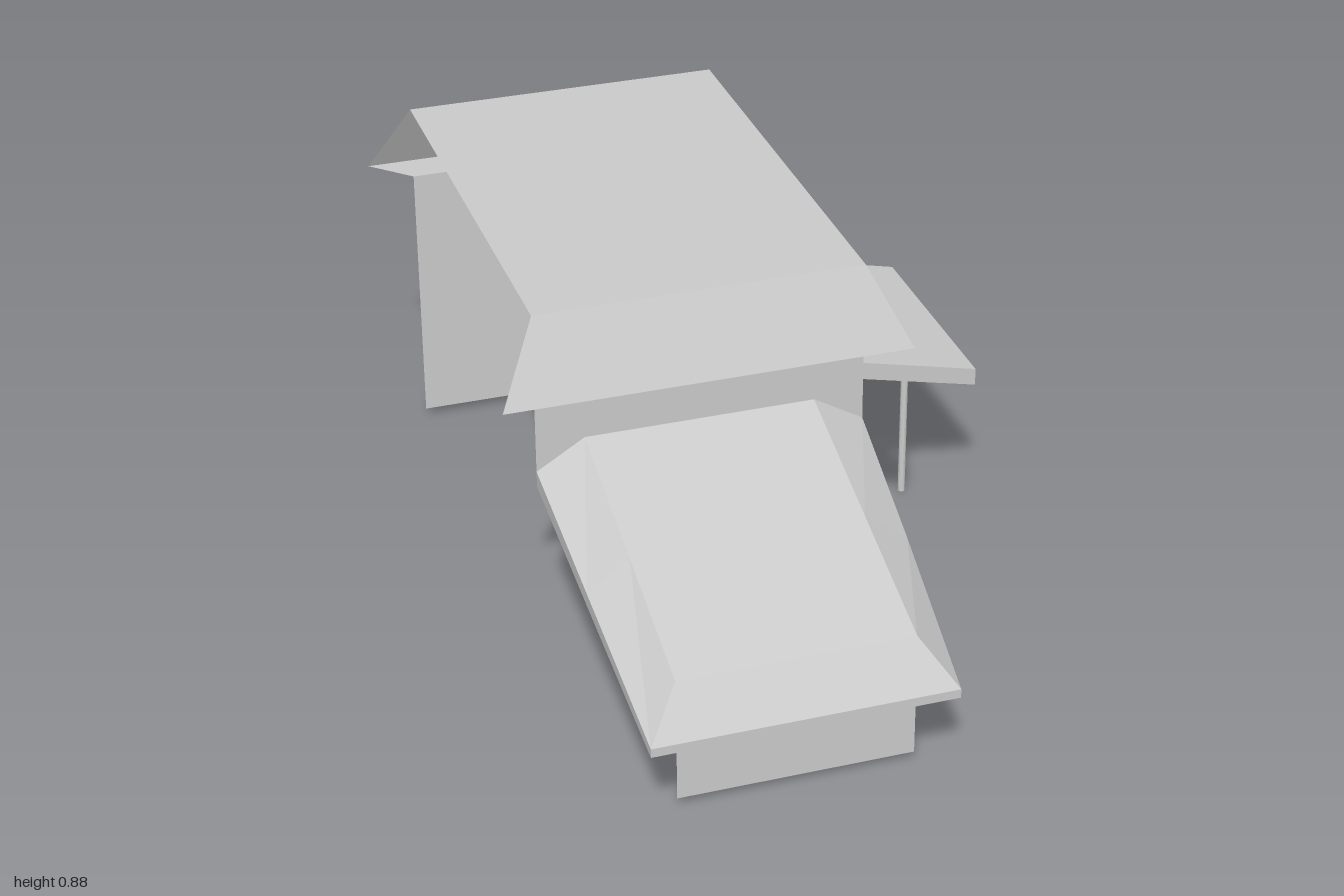
import * as THREE from 'three';

const mat = new THREE.MeshStandardMaterial({ color: 0xcccccc, flatShading: true, side: THREE.DoubleSide });

// Main block and annex limits
const L = -0.55, R = 0.235, B = -0.905, F = 0.245, BASE = 0.02, EAVE = 0.695;
const AL = -0.435, AR = 0.115, AF = 0.925;

function add(group, name, geometry) {
  const mesh = new THREE.Mesh(geometry, mat);
  mesh.name = name;
  group.add(mesh);
  return mesh;
}

// Sheet made of polygons, each a fan of corners
function sheet(group, name, polygons) {
  const pos = [];
  for (const p of polygons) {
    for (let i = 1; i < p.length - 1; i++) pos.push(...p[0], ...p[i], ...p[i + 1]);
  }
  const g = new THREE.BufferGeometry();
  g.setAttribute('position', new THREE.Float32BufferAttribute(pos, 3));
  g.computeVertexNormals();
  return add(group, name, g);
}

// Strips joining two rows of points
function strips(a, b) {
  const out = [];
  for (let i = 0; i < a.length - 1; i++) out.push([a[i], b[i], b[i + 1], a[i + 1]]);
  return out;
}

// Rectangle as a shape or hole; u runs along -z
function rect(T, { z0, z1, y0, y1 }, grow = 0) {
  return new T([
    [-z1 - grow, y0 - grow], [-z0 + grow, y0 - grow], [-z0 + grow, y1 + grow], [-z1 - grow, y1 + grow],
  ].map(([u, y]) => new THREE.Vector2(u, y)));
}

// Recessed opening in the side wall: four reveals and a back panel
function recess(group, name, { z0, z1, y0, y1 }, front, depth) {
  const ring = (x) => [[x, y0, z0], [x, y0, z1], [x, y1, z1], [x, y1, z0], [x, y0, z0]];
  sheet(group, name, [...strips(ring(front), ring(front - depth)), ring(front - depth).slice(0, 4)]);
}

function buildWalls(house) {
  const windows = [{ z0: -0.02, z1: 0.225, y0: 0.235, y1: 0.415 }, { z0: -0.88, z1: -0.637, y0: 0.235, y1: 0.415 }];
  const door = { z0: -0.435, z1: -0.225, y0: BASE, y1: 0.37 };

  // Side wall with door notch and window openings
  const s = new THREE.Shape([
    [-F, BASE], [-door.z1, BASE], [-door.z1, door.y1], [-door.z0, door.y1],
    [-door.z0, BASE], [-B, BASE], [-B, EAVE], [-F, EAVE],
  ].map(([u, y]) => new THREE.Vector2(u, y)));
  for (const w of windows) s.holes.push(rect(THREE.Path, w));
  const wall = add(house, 'sideWall', new THREE.ShapeGeometry(s));
  wall.rotation.y = Math.PI / 2;
  wall.position.x = R;

  recess(house, 'door', door, R, 0.025);

  for (const w of windows) {
    const frame = rect(THREE.Shape, w, 0.022);
    frame.holes.push(rect(THREE.Path, w));
    const m = add(house, 'windowFrame', new THREE.ExtrudeGeometry(frame, { depth: 0.015, bevelEnabled: false }));
    m.rotation.y = Math.PI / 2;
    m.position.x = R;
    recess(house, 'windowRecess', w, R, 0.055);
  }

  sheet(house, 'backWall', [[[L, BASE, B], [L, EAVE, B], [R, EAVE, B], [R, BASE, B]]]);

  // Front wall above the annex roof, and the strip beside the annex
  sheet(house, 'frontWall', [
    [[AL, 0.55, F], [AR, 0.55, F], [AR, EAVE, F], [AL, EAVE, F]],
    [[L, 0.48, F], [AL, 0.55, F], [AL, EAVE, F], [L, EAVE, F]],
    [[AR, BASE, F], [R, BASE, F], [R, EAVE, F], [AR, EAVE, F]],
  ]);
}

function buildMainRoof(house) {
  const top = 0.88, l = -0.645, r = 0.325, b = -1, f = 0.335;
  // Rows run round the roof from front left to back left; the left end is open
  const row = (y, x0, x1, z0, z1) => [[x0, y, z1], [x1, y, z1], [x1, y, z0], [x0, y, z0]];
  const ridge = row(top, L, R, B, F);
  const eave = row(EAVE, l, r, b, f);
  sheet(house, 'mainRoofTop', [ridge]);
  sheet(house, 'mainRoofSkirt', strips(ridge, eave));
  sheet(house, 'mainRoofSoffit', strips(eave, row(EAVE, L, R, B, F)));
}

function buildAnnex(house) {
  const mid = 0.59;
  // Roof rows from back left, round the front, to back right
  const inner = [
    [AL, 0.55, F], [AL, 0.435, mid], [AL, 0.325, 0.92],
    [AR, 0.325, 0.92], [AR, 0.435, mid], [AR, 0.55, F],
  ];
  const outer = [
    [L, 0.48, F], [-0.534, 0.361, mid], [-0.515, 0.22, 1],
    [0.19, 0.22, 1], [0.217, 0.361, mid], [R, 0.48, F],
  ];
  const drop = [0.04, 0.033, 0.022, 0.022, 0.033, 0.04];
  const lower = outer.map(([x, y, z], i) => [x, y - drop[i], z]);
  const wallTop = [
    [AL, 0.44, F], [AL, 0.328, mid], [AL, 0.22, AF],
    [AR, 0.22, AF], [AR, 0.328, mid], [AR, 0.44, F],
  ];
  sheet(house, 'annexRoofTop', [[inner[0], inner[2], inner[3], inner[5]]]);
  sheet(house, 'annexRoofSkirt', strips(inner, outer));
  sheet(house, 'annexFascia', strips(outer, lower));
  sheet(house, 'annexSoffit', strips(lower.slice(2), wallTop.slice(2)));
  // Front and right walls; the left side is open
  const walls = wallTop.slice(2);
  sheet(house, 'annexWalls', strips(walls, walls.map(([x, , z]) => [x, BASE, z])));
}

function buildPorch(house) {
  // Sloping canopy slab
  const slab = new THREE.Shape([[R, 0.435], [0.64, 0.342], [0.64, 0.386], [R, 0.48]]
    .map(([x, y]) => new THREE.Vector2(x, y)));
  add(house, 'porchCanopy', new THREE.ExtrudeGeometry(slab, { depth: 0.575, bevelEnabled: false }))
    .position.z = -0.618;
  for (const z of [-0.16, -0.49]) {
    add(house, 'porchPost', new THREE.CylinderGeometry(0.009, 0.009, 0.378, 12)).position.set(0.5, 0.189, z);
  }
}

export function createModel() {
  const house = new THREE.Group();
  house.name = 'house';
  buildWalls(house);
  buildMainRoof(house);
  buildAnnex(house);
  buildPorch(house);
  return house;
}
